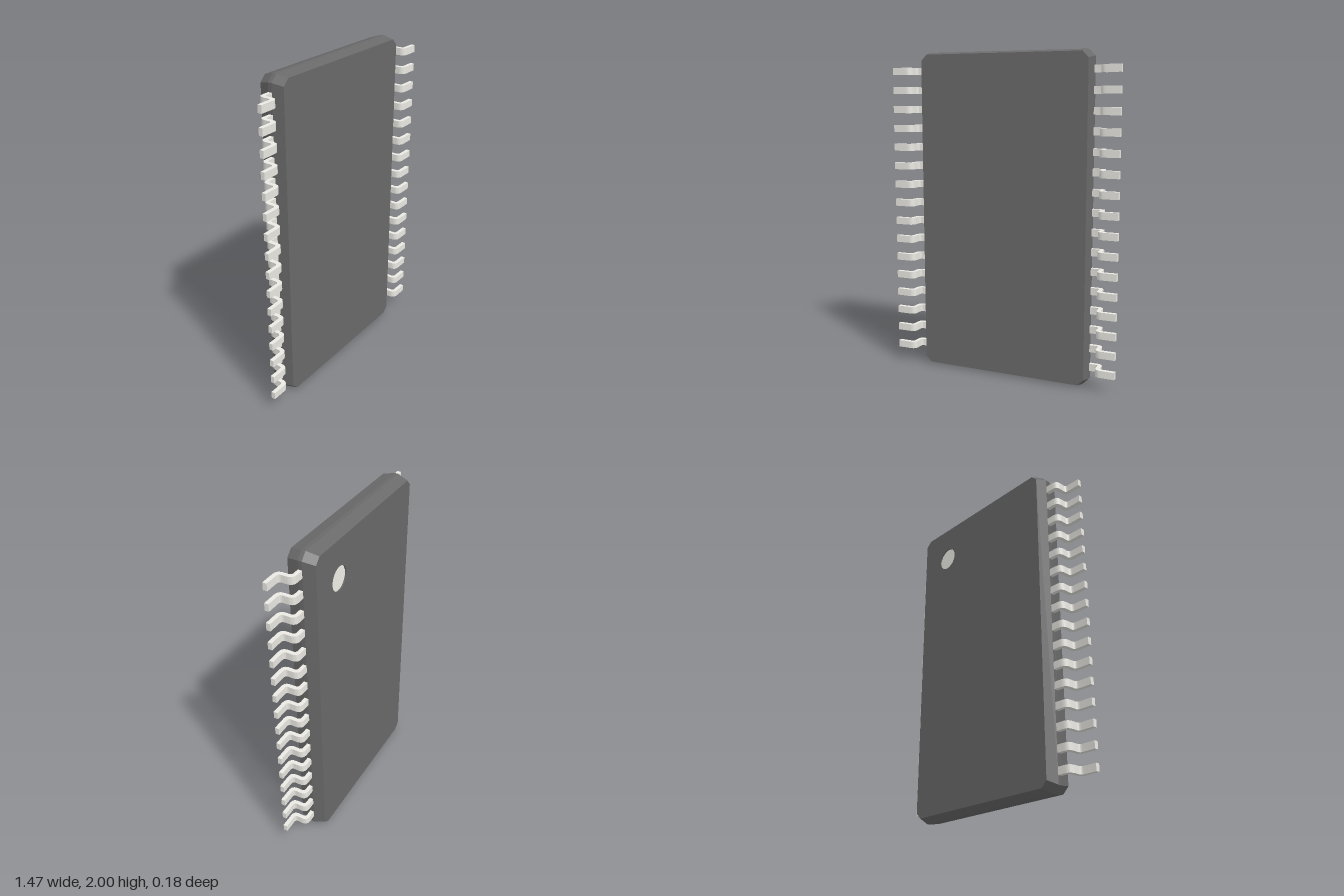
import * as THREE from 'three';
import { toCreasedNormals } from 'three/addons/utils/BufferGeometryUtils.js';

const bodyMat = new THREE.MeshStandardMaterial({ color: 0x6b6a6a });
const recessMat = new THREE.MeshStandardMaterial({ color: 0x6b6a6a, side: THREE.BackSide });
const metalMat = new THREE.MeshStandardMaterial({ color: 0xeae9e3 });
const markMat = new THREE.MeshStandardMaterial({ color: 0xf2f2e9 });

const CENTRE_Y = 1;
const BACK_Z = -0.09;
const DOT = { x: 0.305, y: 0.75, r: 0.073, depth: 0.008 };

// Rectangle with cut corners, counter-clockwise seen from +z
function outline(inset) {
  const w = 0.553 - inset, h = 1 - inset, c = 0.04 - inset * 0.2;
  return [[w, c - h], [w, h - c], [w - c, h], [c - w, h], [-w, h - c], [-w, c - h], [c - w, -h], [w - c, -h]]
    .map(([x, y]) => new THREE.Vector2(x, y));
}

// Tapered side walls, lofted through outlines at increasing z
function wallGeometry(sections) {
  const pos = [];
  for (let s = 0; s < sections.length - 1; s++) {
    const [z0, i0] = sections[s], [z1, i1] = sections[s + 1];
    const a = outline(i0), b = outline(i1);
    for (let i = 0; i < a.length; i++) {
      const j = (i + 1) % a.length;
      const p = [a[i].x, a[i].y, z0], q = [a[j].x, a[j].y, z0];
      const r = [b[j].x, b[j].y, z1], t = [b[i].x, b[i].y, z1];
      pos.push(...p, ...q, ...r, ...p, ...r, ...t);
    }
  }
  const g = new THREE.BufferGeometry();
  g.setAttribute('position', new THREE.Float32BufferAttribute(pos, 3));
  g.computeVertexNormals();
  return g;
}

// Gull-wing lead: profile in x and -z, extruded along y; side is 1 or -1
function leadGeometry(side) {
  const width = 0.044;
  const s = new THREE.Shape();
  const line = (x, z) => s.lineTo(side * x, -z);
  const bend = (cx, cz, x, z) => s.quadraticCurveTo(side * cx, -cz, side * x, -z);
  s.moveTo(side * 0.53, 0.022);
  line(0.597, -0.022);
  bend(0.635, -0.022, 0.635, 0.016);
  line(0.635, 0.045);
  bend(0.635, 0.063, 0.653, 0.063);
  line(0.735, 0.063);
  line(0.735, 0.088);
  line(0.648, 0.088);
  bend(0.61, 0.088, 0.61, 0.05);
  line(0.61, 0.02);
  bend(0.61, 0.002, 0.592, 0.002);
  line(0.53, 0.002);
  s.closePath();
  const g = new THREE.ExtrudeGeometry(s, { depth: width, bevelEnabled: false, curveSegments: 6 });
  g.translate(0, 0, -width / 2);
  g.rotateX(-Math.PI / 2);
  return toCreasedNormals(g, 0.5);
}

export function createModel() {
  const model = new THREE.Group();
  model.name = 'chipPackage';
  const add = (parent, name, geometry, material) => {
    const mesh = new THREE.Mesh(geometry, material);
    mesh.name = name;
    parent.add(mesh);
    return mesh;
  };

  // Moulded body
  const body = new THREE.Group();
  body.name = 'body';
  body.position.y = CENTRE_Y;
  model.add(body);
  add(body, 'bodyWalls', wallGeometry([[BACK_Z, 0.021], [-0.022, 0], [0.002, 0], [0.07, 0.014]]), bodyMat);
  add(body, 'frontFace', new THREE.ShapeGeometry(new THREE.Shape(outline(0.014))), bodyMat).position.z = 0.07;

  // Back face with a round hole, turned to face -z
  const back = new THREE.Shape(outline(0.021));
  const hole = new THREE.Path();
  hole.absarc(-DOT.x, DOT.y, DOT.r, 0, Math.PI * 2, true);
  back.holes.push(hole);
  const backFace = add(body, 'backFace', new THREE.ShapeGeometry(back, 16), bodyMat);
  backFace.rotation.y = Math.PI;
  backFace.position.z = BACK_Z;

  // Recessed orientation mark
  const rim = add(body, 'markRecess', new THREE.CylinderGeometry(DOT.r, DOT.r, DOT.depth, 32, 1, true), recessMat);
  rim.rotation.x = Math.PI / 2;
  rim.position.set(DOT.x, DOT.y, BACK_Z + DOT.depth / 2);
  const mark = add(body, 'orientationMark', new THREE.CircleGeometry(DOT.r, 32), markMat);
  mark.rotation.y = Math.PI;
  mark.position.set(DOT.x, DOT.y, BACK_Z + DOT.depth);

  // Sixteen leads on each side
  for (const [name, side] of [['leftLead', 1], ['rightLead', -1]]) {
    const geometry = leadGeometry(side);
    const row = new THREE.Group();
    row.name = name + 'Row';
    model.add(row);
    for (let i = 0; i < 16; i++) {
      add(row, name, geometry, metalMat).position.y = CENTRE_Y + (i - 7.5) * 0.1183;
    }
  }
  return model;
}
